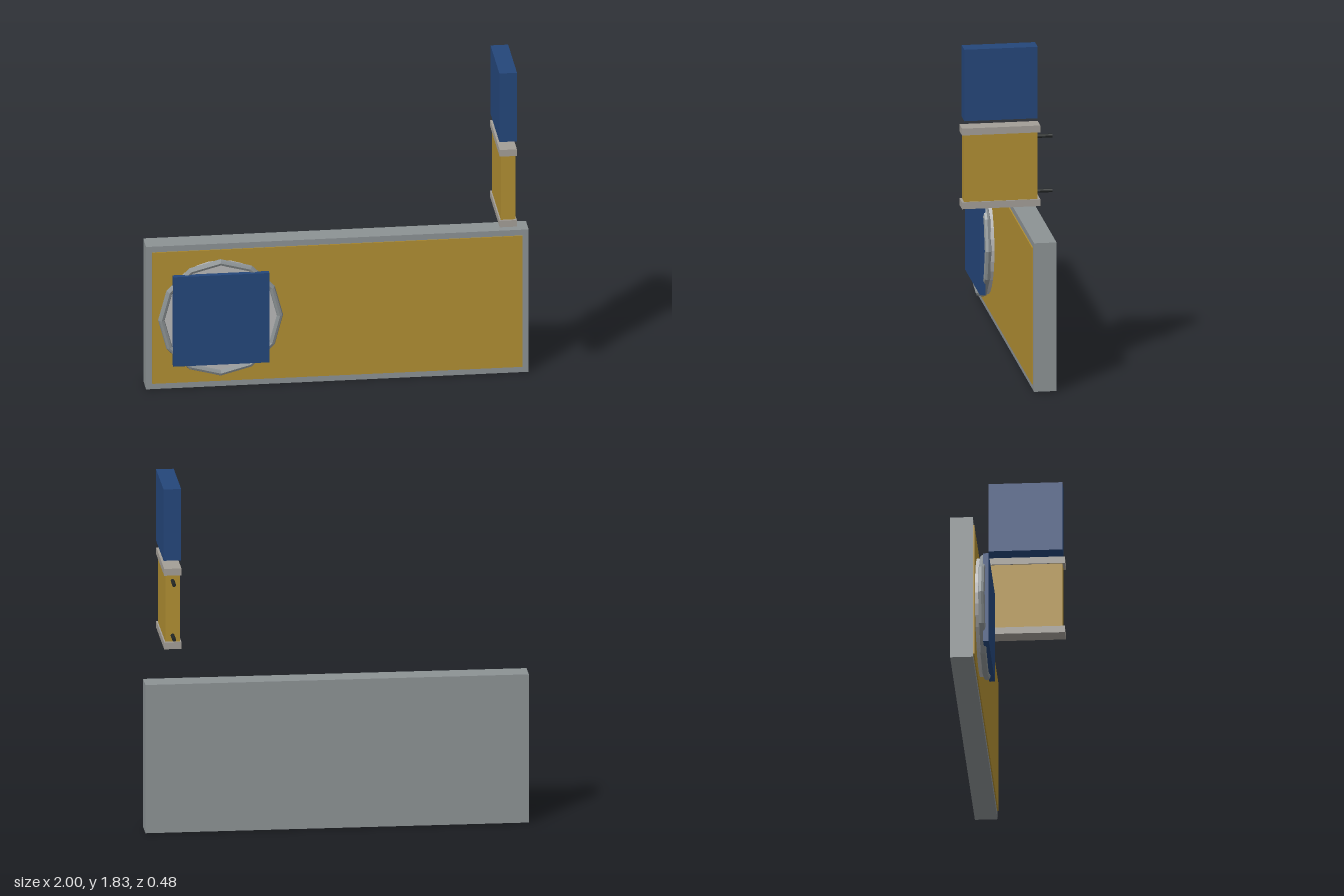
import * as THREE from 'three';

const paint = (color) => new THREE.MeshStandardMaterial({ color, flatShading: true });

export function createModel() {
  const model = new THREE.Group();
  const steel = paint(0x8c9294), gold = paint(0xb08e32), blue = paint(0x24467a);
  const silver = paint(0xb8b8b8), stone = paint(0xa39e97), black = paint(0x222625);

  const add = (parent, name, geometry, material, x, y, z) => {
    const mesh = new THREE.Mesh(geometry, material);
    mesh.name = name;
    mesh.position.set(x, y, z);
    parent.add(mesh);
    return mesh;
  };

  // Box given by its lower and upper corners
  const box = (parent, name, material, [x0, y0, z0], [x1, y1, z1]) =>
    add(parent, name, new THREE.BoxGeometry(x1 - x0, y1 - y0, z1 - z0), material,
      (x0 + x1) / 2, (y0 + y1) / 2, (z0 + z1) / 2);

  const group = (name) => {
    const g = new THREE.Group();
    g.name = name;
    model.add(g);
    return g;
  };

  // Wide wall board with a slightly raised face panel
  const board = group('board');
  box(board, 'boardBody', steel, [-1, 0, -0.24], [1, 0.8, -0.122]);
  box(board, 'boardPanel', gold, [-0.968, 0.032, -0.235], [0.968, 0.768, -0.116]);

  // Round emblem: smooth disc, twelve-sided rim and square plate
  const emblem = group('emblem');
  const cx = -0.615, cy = 0.402;
  add(emblem, 'emblemDisc', new THREE.CylinderGeometry(0.308, 0.308, 0.045, 32), silver, cx, cy, -0.1)
    .rotation.x = Math.PI / 2;
  add(emblem, 'emblemRim', new THREE.TorusGeometry(0.309, 0.018, 8, 12), steel, cx, cy, -0.083);
  box(emblem, 'emblemPlate', blue, [cx - 0.251, cy - 0.251, -0.077], [cx + 0.251, cy + 0.251, -0.048]);

  // Projecting sign: panel between two caps, pinned at the back
  const sign = group('projectingSign');
  box(sign, 'signPanel', gold, [0.812, 1.005, -0.157], [0.888, 1.37, 0.228]);
  for (const [name, y] of [['lowerCap', 0.97], ['upperCap', 1.367]]) {
    box(sign, name, stone, [0.805, y, -0.171], [0.895, y + 0.037, 0.24]);
  }
  for (const [name, y] of [['lowerPin', 1.04], ['upperPin', 1.335]]) {
    add(sign, name, new THREE.CylinderGeometry(0.01, 0.01, 0.1, 12), black, 0.85, y, -0.19)
      .rotation.x = Math.PI / 2;
  }

  // Separate square block floating above the sign
  box(sign, 'topBlock', blue, [0.805, 1.444, -0.157], [0.897, 1.829, 0.228]);

  return model;
}
